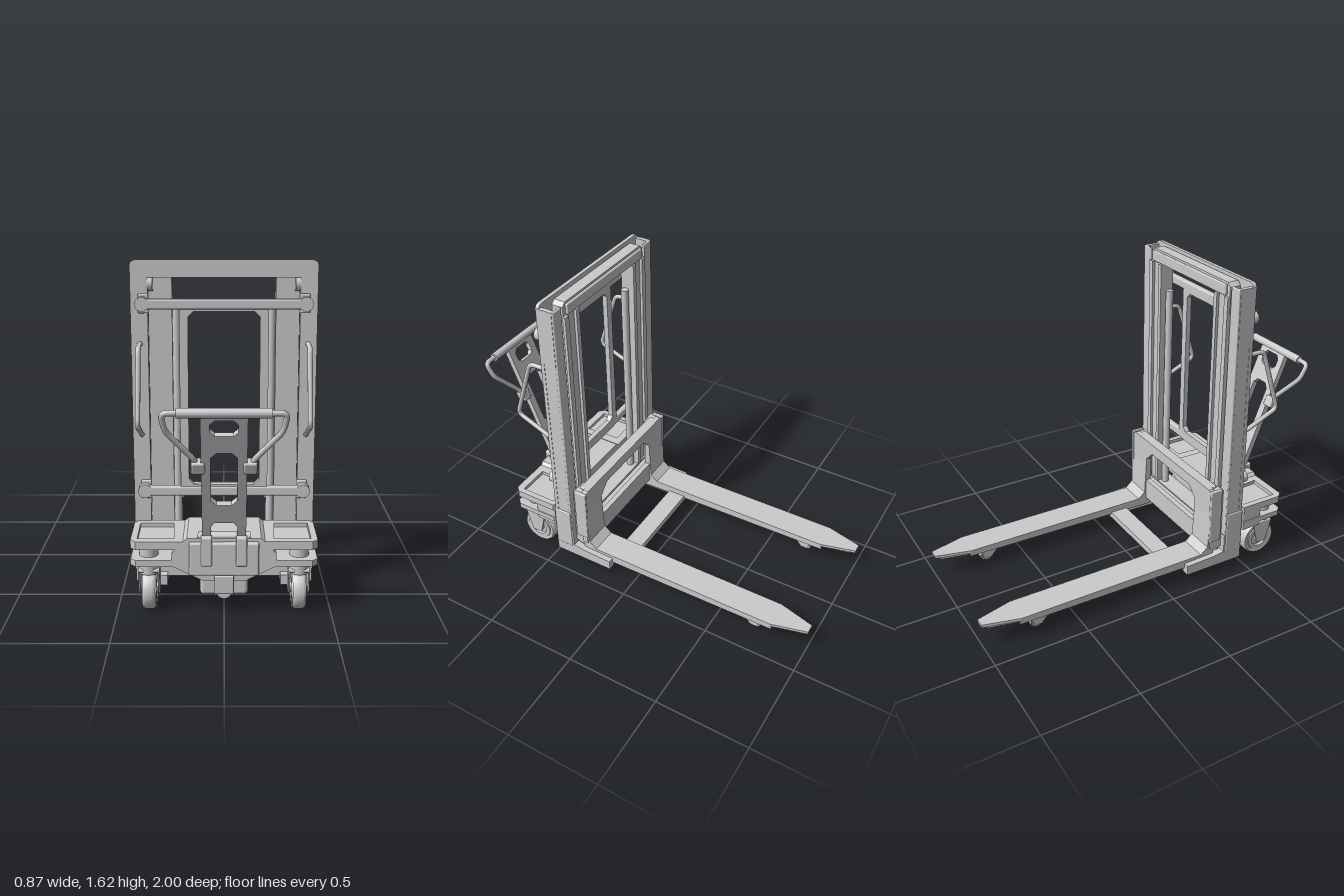
import * as THREE from 'three';
import { toCreasedNormals } from 'three/addons/utils/BufferGeometryUtils.js';
import { RoundedBoxGeometry } from 'three/addons/geometries/RoundedBoxGeometry.js';

export function createModel() {
  const model = new THREE.Group();
  const grey = new THREE.MeshStandardMaterial({ color: 0xcccccc });
  const V = (x, y, z) => new THREE.Vector3(x, y, z);

  function add(name, geo, x = 0, y = 0, z = 0, parent = model) {
    const m = new THREE.Mesh(geo, grey);
    m.name = name;
    m.position.set(x, y, z);
    parent.add(m);
    return m;
  }
  // Box given by its limits on each axis
  function box(name, x0, x1, y0, y1, z0, z1, r = 0, parent = model) {
    const s = [x1 - x0, y1 - y0, z1 - z0];
    const g = r ? new RoundedBoxGeometry(...s, 2, r) : new THREE.BoxGeometry(...s);
    return add(name, g, (x0 + x1) / 2, (y0 + y1) / 2, (z0 + z1) / 2, parent);
  }
  function pair(name, x0, x1, ...rest) {
    box(name, x0, x1, ...rest);
    box(name, -x1, -x0, ...rest);
  }
  function poly(pts) {
    return new THREE.Shape(pts.map(p => new THREE.Vector2(p[0], p[1])));
  }
  const solid = (shape, depth) => new THREE.ExtrudeGeometry(shape, { depth, bevelEnabled: false, curveSegments: 6 });
  // Plate drawn in x,y
  function plate(name, pts, z0, z1, holes = []) {
    const s = poly(pts);
    holes.forEach(h => s.holes.push(poly(h)));
    return add(name, solid(s, z1 - z0), 0, 0, z0);
  }
  // Side profile drawn in z,y
  function profile(name, pts, x0, x1) {
    const g = solid(poly(pts), x1 - x0);
    g.rotateY(-Math.PI / 2);
    return add(name, g, x1);
  }
  // Flat outline drawn in x,z
  function slab(name, pts, y0, y1) {
    const g = solid(poly(pts), y1 - y0);
    g.rotateX(Math.PI / 2);
    return add(name, g, 0, y1);
  }
  // Rectangle outline with cut corners
  function cut(x0, x1, y0, y1, c) {
    return [[x0 + c, y0], [x1 - c, y0], [x1, y0 + c], [x1, y1 - c], [x1 - c, y1], [x0 + c, y1], [x0, y1 - c], [x0, y0 + c]];
  }
  // Bent bar with tight corners
  function bar(name, pts, r) {
    const path = new THREE.CurvePath();
    let last = pts[0];
    for (let i = 1; i < pts.length - 1; i++) {
      const p = pts[i], b = 0.03;
      const a = p.clone().add(last.clone().sub(p).setLength(b));
      const c = p.clone().add(pts[i + 1].clone().sub(p).setLength(b));
      path.add(new THREE.LineCurve3(last, a));
      path.add(new THREE.QuadraticBezierCurve3(a, p, c));
      last = c;
    }
    path.add(new THREE.LineCurve3(last, pts[pts.length - 1]));
    add(name, new THREE.TubeGeometry(path, 48, r, 10), 0, 0, 0);
  }
  function rod(name, r, len, x, y, z, axis = 'y', seg = 20) {
    const g = new THREE.CylinderGeometry(r, r, len, seg);
    if (axis === 'x') g.rotateZ(Math.PI / 2);
    if (axis === 'z') g.rotateX(Math.PI / 2);
    return add(name, g, x, y, z);
  }
  function wheel(name, r, w, x, y, z) {
    const pts = [[0, -0.3], [0.45, -0.3], [0.5, -0.45], [0.72, -0.45], [0.74, -0.38], [0.92, -0.4], [1, -0.25],
      [1, 0.25], [0.92, 0.4], [0.74, 0.38], [0.72, 0.45], [0.5, 0.45], [0.45, 0.3], [0, 0.3]]
      .map(p => new THREE.Vector2(p[0] * r, p[1] * w));
    const g = toCreasedNormals(new THREE.LatheGeometry(pts, 28), 0.6);
    g.rotateZ(-Math.PI / 2);
    add(name, g, x, y, z);
    rod(name + 'Hub', r * 0.25, w, x, y, z, 'x');
  }

  // Mast: outer arch, side channels and inner frame
  const arch = poly([[-0.43, 0.08], [-0.35, 0.08], [-0.35, 1.54], [0.35, 1.54], [0.35, 0.08], [0.43, 0.08]]);
  arch.lineTo(0.43, 1.59);
  arch.quadraticCurveTo(0.43, 1.62, 0.4, 1.62);
  arch.lineTo(-0.4, 1.62);
  arch.quadraticCurveTo(-0.43, 1.62, -0.43, 1.59);
  add('mastFrontArch', solid(arch, 0.02), 0, 0, 0.445);
  pair('mastSideWeb', 0.408, 0.428, 0.08, 1.6, 0.37, 0.45);
  pair('mastRearFlange', 0.365, 0.43, 0.08, 1.6, 0.365, 0.38, 0.005);
  pair('mastSidePanel', 0.426, 0.432, 1.3, 1.6, 0.375, 0.455);
  plate('mastInnerFrame', [[-0.35, 0.1], [-0.24, 0.1], [-0.24, 1.54], [0.24, 1.54], [0.24, 0.1], [0.35, 0.1],
    [0.35, 1.59], [0.33, 1.61], [-0.33, 1.61], [-0.35, 1.59]], 0.37, 0.43);
  pair('innerRailLip', 0.24, 0.265, 0.1, 1.54, 0.355, 0.371);
  pair('innerRailEdge', 0.325, 0.355, 0.1, 1.54, 0.355, 0.371);
  box('mastTopLip', -0.33, 0.33, 1.545, 1.6, 0.355, 0.371, 0.005);
  box('mastBase', -0.43, 0.43, 0.08, 0.23, 0.36, 0.46);
  pair('mastFootBlock', 0.37, 0.435, 0.12, 0.36, 0.37, 0.47, 0.006);
  for (const s of [-1, 1]) {
    rod('liftCylinder', 0.02, 1.2, s * 0.222, 0.8, 0.4);
    rod('topRoller', 0.035, 0.025, s * 0.34, 1.51, 0.435, 'x');
  }

  // Operator guard with two cross bars
  plate('guardFrame', cut(-0.205, 0.205, 0.51, 1.43, 0.03), 0.475, 0.503, [cut(-0.165, 0.165, 0.565, 1.39, 0.025)]);
  for (const y of [0.533, 1.423]) {
    box('guardCrossBar', -0.39, 0.39, y - 0.024, y + 0.024, 0.475, 0.51, 0.01);
    for (const s of [-1, 1]) {
      rod('guardClamp', 0.033, 0.05, s * 0.375, y, 0.485, 'z');
      box('guardBracket', s * 0.37 - 0.025, s * 0.37 + 0.025, y - 0.045, y + 0.045, 0.46, 0.478, 0.006);
    }
  }

  // Grab handles on the mast sides
  for (const s of [-1, 1]) {
    bar('grabHandle', [V(s * 0.388, 1.235, 0.46), V(s * 0.388, 1.235, 0.57), V(s * 0.388, 0.895, 0.68), V(s * 0.388, 0.8, 0.46)], 0.012);
  }

  // Load carriage
  plate('carriagePlate', cut(-0.405, 0.405, 0.13, 0.51, 0.03), 0.285, 0.315,
    [[[-0.25, 0.25], [0.25, 0.25], [0.25, 0.39], [0.19, 0.45], [-0.19, 0.45], [-0.25, 0.39]]]);
  box('carriageTopBar', -0.36, 0.36, 0.46, 0.51, 0.31, 0.345, 0.006);
  box('carriageLowerBar', -0.4, 0.4, 0.14, 0.24, 0.31, 0.345);
  pair('carriageSide', 0.31, 0.4, 0.15, 0.5, 0.31, 0.36);
  pair('carriageRib', 0.39, 0.41, 0.2, 0.51, 0.28, 0.35, 0.005);

  // Forks, straddle legs and load rollers
  for (const s of [-1, 1]) {
    slab('forkTop', [[0.25, 0.31], [0.4, 0.31], [0.4, -0.81], [0.35, -1], [0.3, -1], [0.25, -0.81]].map(p => [p[0] * s, p[1]]), 0.118, 0.134);
    for (const x of [0.25, 0.388]) {
      const a = s > 0 ? x : -x - 0.012;
      profile('forkWall', [[0.31, 0.085], [0.31, 0.12], [-0.82, 0.12], [-0.82, 0.1]], a, a + 0.012);
    }
    slab('forkTip', [[0.262, -0.78], [0.388, -0.78], [0.345, -0.97], [0.305, -0.97]].map(p => [p[0] * s, p[1]]), 0.1, 0.12);
    profile('forkHeel', [[0.31, 0.1], [0.31, 0.36], [0.285, 0.36], [0.275, 0.17], [0.23, 0.13], [0.23, 0.1]], s * 0.325 - 0.075, s * 0.325 + 0.075);
    profile('straddleLeg', [[0.5, 0.05], [0.5, 0.1], [0.3, 0.115], [-0.8, 0.115], [-0.8, 0.1], [-0.3, 0.09], [0.08, 0.082], [0.14, 0.055]],
      s * 0.325 - 0.05, s * 0.325 + 0.05);
    profile('legShoulder', [[0.47, 0.06], [0.47, 0.15], [0.3, 0.12], [0.13, 0.115], [0.13, 0.06]], s * 0.41 - 0.02, s * 0.41 + 0.02);
    for (const x of [-0.04, 0.03]) {
      profile('rollerBracket', [[-0.63, 0.1], [-0.75, 0.1], [-0.73, 0.03], [-0.69, 0.03]], s * 0.325 + x, s * 0.325 + x + 0.01);
    }
    wheel('loadRoller', 0.036, 0.055, s * 0.325, 0.04, -0.71);
  }
  box('legCrossBar', -0.27, 0.27, 0.065, 0.1, 0.05, 0.15);

  // Chassis decks, with recessed trays on top
  const deck = cut(-0.43, 0.43, 0.46, 0.74, 0.025);
  const trays = [-1, 1].map(s => [[0.24, 0.5], [0.4, 0.5], [0.4, 0.7], [0.23, 0.7]].map(p => [p[0] * s, p[1]]));
  const top = poly(deck);
  trays.forEach(t => top.holes.push(poly(t)));
  add('upperDeck', solid(top, 0.04).rotateX(Math.PI / 2), 0, 0.37, 0);
  trays.forEach(t => slab('deckTray', t, 0.33, 0.35));
  slab('lowerDeck', deck, 0.248, 0.278);
  pair('deckSpacer', 0.22, 0.41, 0.27, 0.335, 0.47, 0.6);
  pair('sideBattery', 0.405, 0.425, 0.22, 0.34, 0.48, 0.6, 0.006);

  // Drive housing
  plate('driveHousing', [[-0.1, 0.18], [0.1, 0.18], [0.24, 0.25], [0.24, 0.31], [0.2, 0.36], [0.17, 0.385],
    [-0.17, 0.385], [-0.2, 0.36], [-0.24, 0.31], [-0.24, 0.25]], 0.46, 0.74);
  box('housingFace', -0.16, 0.16, 0.21, 0.37, 0.73, 0.762, 0.01);
  box('pumpBody', -0.115, 0.115, 0.05, 0.22, 0.45, 0.62, 0.02);
  box('pumpBlock', -0.045, 0.045, 0.115, 0.205, 0.6, 0.75, 0.006);
  rod('pumpCap', 0.035, 0.03, 0, 0.08, 0.63, 'z');

  // Swivel casters
  for (const s of [-1, 1]) {
    rod('casterPivot', 0.045, 0.14, s * 0.35, 0.26, 0.66);
    box('casterYokeTop', s * 0.35 - 0.05, s * 0.35 + 0.05, 0.2, 0.215, 0.57, 0.7, 0.005);
    for (const x of [-0.05, 0.042]) {
      profile('casterYoke', [[0.58, 0.21], [0.7, 0.21], [0.665, 0.085], [0.61, 0.085]], s * 0.35 + x, s * 0.35 + x + 0.008);
    }
    wheel('casterWheel', 0.1, 0.078, s * 0.35, 0.1, 0.635);
  }

  // Tiller, built upright along its own length and then tilted
  const tiller = new THREE.Group();
  tiller.name = 'tiller';
  tiller.position.set(0, 0.36, 0.71);
  tiller.rotation.x = 0.375;
  model.add(tiller);
  const arms = poly([[-0.1, -0.02], [-0.06, -0.02], [-0.06, 0.1], [-0.045, 0.125], [0.045, 0.125], [0.06, 0.1], [0.06, -0.02],
    [0.1, -0.02], [0.1, 0.71], [-0.1, 0.71]]);
  arms.holes.push(poly(cut(-0.058, 0.058, 0.23, 0.52, 0.025)), poly(cut(-0.06, 0.06, 0.61, 0.69, 0.02)));
  add('tillerArms', solid(arms, 0.03), 0, 0, -0.015, tiller);
  rod('tillerGrip', 0.022, 0.4, 0, 1.03, 0.975, 'x');
  for (const s of [-1, 1]) {
    box('tillerKnuckle', s * 0.113 - 0.03, s * 0.113 + 0.03, 0.41, 0.47, -0.025, 0.025, 0.01, tiller);
    bar('tillerLoop', [V(s * 0.19, 1.03, 0.975), V(s * 0.265, 1.03, 0.975), V(s * 0.25, 0.945, 0.945), V(s * 0.125, 0.8, 0.885), V(s * 0.113, 0.75, 0.86)], 0.013);
    box('tillerFoot', s * 0.08 - 0.025, s * 0.08 + 0.025, 0.26, 0.4, 0.67, 0.772, 0.008);
  }
  rod('tillerHinge', 0.022, 0.24, 0, 0.385, 0.71, 'x');

  return model;
}
